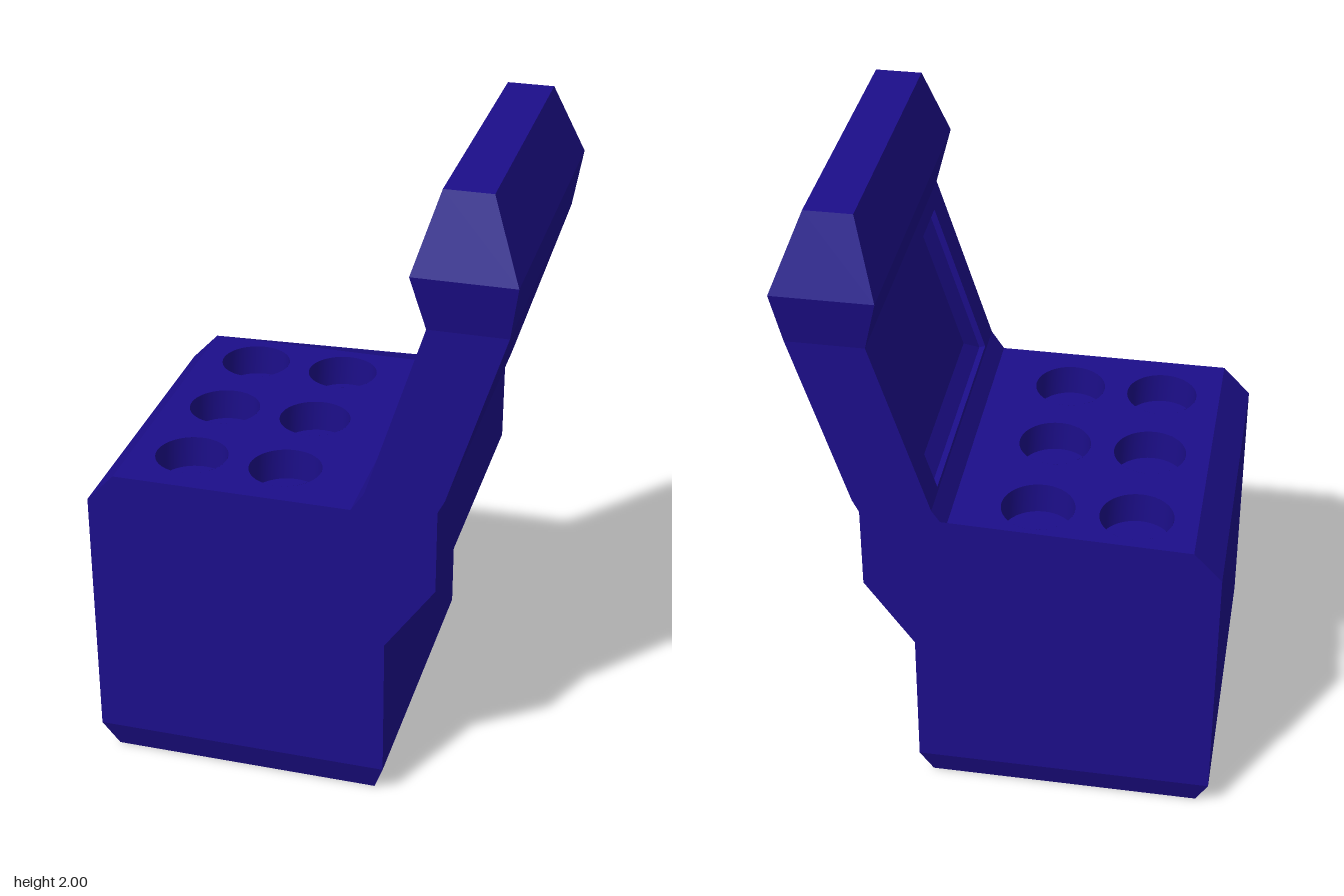
import * as THREE from 'three';
import { toCreasedNormals } from 'three/addons/utils/BufferGeometryUtils.js';

const blue = new THREE.MeshStandardMaterial({ color: 0x1c0e8a, side: THREE.DoubleSide });

// Joins four-cornered rings with flat faces; openings lists 'ring,side' faces left out
function loft(rings, capStart, openings = []) {
  const pos = [];
  const quad = (a, b, c, d) => pos.push(...a, ...b, ...d, ...b, ...c, ...d);
  for (let i = 0; i < rings.length - 1; i++) {
    for (let j = 0; j < 4; j++) {
      if (openings.includes(`${i},${j}`)) continue;
      const k = (j + 1) % 4;
      quad(rings[i][j], rings[i][k], rings[i + 1][k], rings[i + 1][j]);
    }
  }
  if (capStart) quad(...[...rings[0]].reverse());
  quad(...rings[rings.length - 1]);
  const geo = new THREE.BufferGeometry();
  geo.setAttribute('position', new THREE.Float32BufferAttribute(pos, 3));
  geo.computeVertexNormals();
  return geo;
}

function rectangle(x0, y0, x1, y1, Type = THREE.Shape) {
  return new Type([[x0, y0], [x1, y0], [x1, y1], [x0, y1]].map(p => new THREE.Vector2(...p)));
}

export function createModel() {
  const model = new THREE.Group();
  const add = (name, geo, parent = model) => {
    const mesh = new THREE.Mesh(geo, blue);
    mesh.name = name;
    parent.add(mesh);
    return mesh;
  };

  // Cabinet: player edge x, y, rear edge x, y, half width
  const W = 0.49;
  const sections = [
    [-0.6, 0, 0.24, 0, 0.45],
    [-0.64, 0.1, 0.275, 0.1, W],
    [-0.64, 0.56, 0.275, 0.56, W],
    [-0.64, 0.775, 0.425, 0.775, W],
    [-0.64, 0.92, 0.425, 0.92, W],
    [-0.555, 1.01, 0.425, 0.97, W],
    [0.17, 1.01, 0.425, 1.04, W],
    [0.21, 1.07, 0.445, 1.08, W],
    [0.38, 1.61, 0.61, 1.61, W],
    [0.338, 1.775, 0.635, 1.775, 0.525],
    [0.405, 2, 0.545, 2, 0.44],
  ];
  const rings = sections.map(([fx, fy, bx, by, w]) =>
    [[fx, fy, w], [bx, by, w], [bx, by, -w], [fx, fy, -w]]);
  add('cabinet', loft(rings, true, ['5,3', '7,3']));

  // Deck with six round wells
  const deck = rectangle(-0.555, -W, 0.17, W);
  const R = 0.11, depth = 0.1;
  const wellProfile = [[0, -depth], [R, -depth], [R, 0]].map(p => new THREE.Vector2(...p));
  const wellGeo = toCreasedNormals(new THREE.LatheGeometry(wellProfile, 40), 0.6);
  for (const x of [-0.372, -0.079]) {
    for (const z of [-0.342, -0.015, 0.305]) {
      const hole = new THREE.Path();
      hole.absarc(x, -z, R, 0, Math.PI * 2, true);
      deck.holes.push(hole);
      add('well', wellGeo).position.set(x, 1.01, z);
    }
  }
  add('deck', new THREE.ShapeGeometry(deck, 40).rotateX(-Math.PI / 2)).position.y = 1.01;

  // Leaning back panel, built flat and then set on the slope
  const low = new THREE.Vector3(0.21, 1.07, 0);
  const up = new THREE.Vector3(0.38, 1.61, 0).sub(low);
  const height = up.length();
  up.normalize();
  const across = new THREE.Vector3(0, 0, 1);
  const out = across.clone().cross(up);
  const panel = new THREE.Group();
  panel.name = 'backPanel';
  panel.quaternion.setFromRotationMatrix(new THREE.Matrix4().makeBasis(across, up, out));
  panel.position.copy(low);
  model.add(panel);

  const y0 = 0.01, y1 = height - 0.045, half = 0.385;
  const frame = rectangle(-W, 0, W, height);
  frame.holes.push(rectangle(-half, y0, half, y1, THREE.Path));
  add('panelFrame', new THREE.ShapeGeometry(frame), panel);

  // Screen recess: straight lip, then a bevel down to the floor
  const recess = [[0, 0], [0, -0.02], [0.055, -0.045]].map(([inset, z]) => {
    const x = half - inset, a = y0 + inset, b = y1 - inset;
    return [[-x, a, z], [x, a, z], [x, b, z], [-x, b, z]];
  });
  add('screenRecess', loft(recess, false), panel);

  return model;
}
